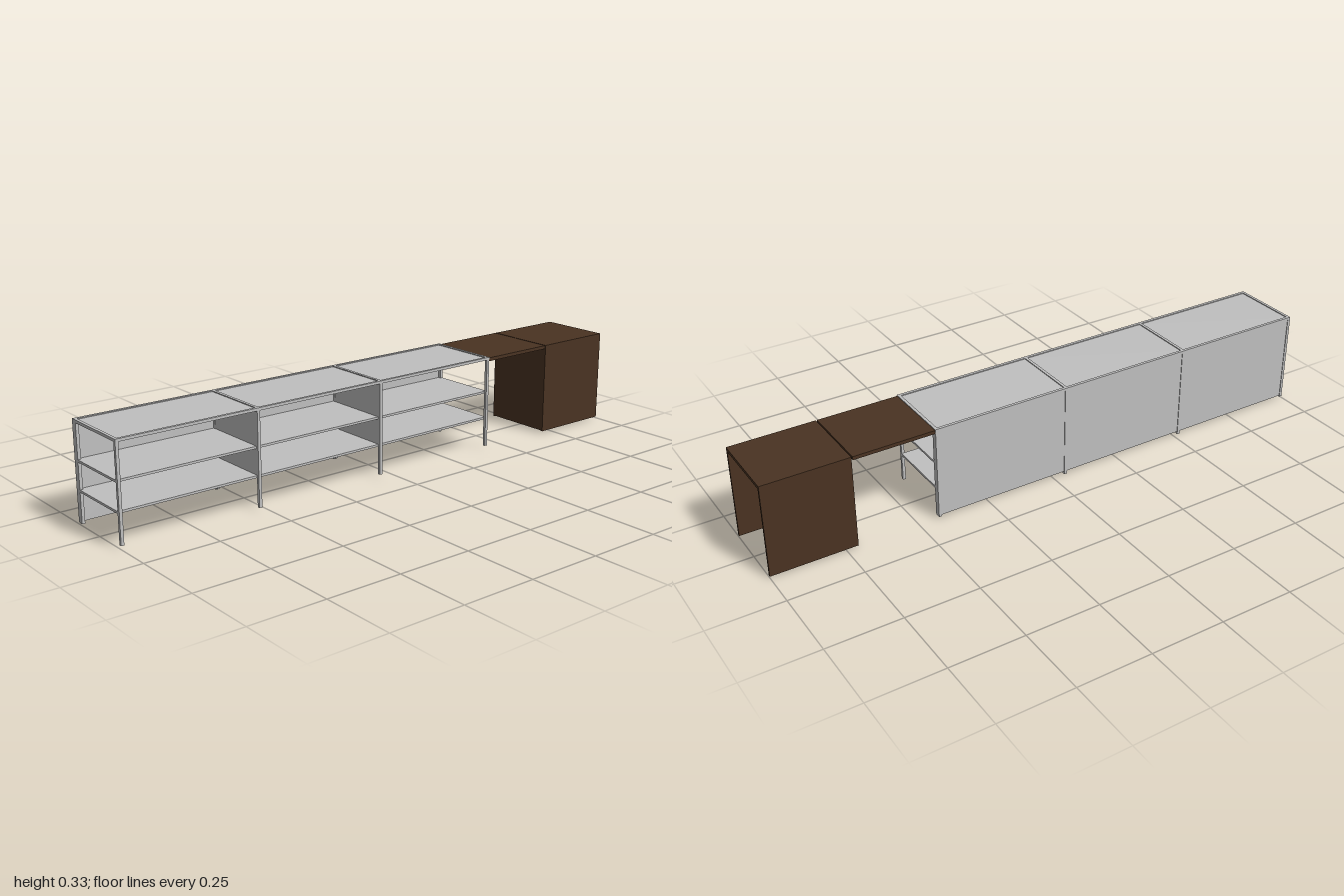
import * as THREE from 'three';

export function createModel() {
  const model = new THREE.Group();
  model.name = 'shelfAndDesk';
  const grey = new THREE.MeshStandardMaterial({ color: 0xc0c0c0 });
  grey.name = 'light grey';
  const brown = new THREE.MeshStandardMaterial({ color: 0x4a3322 });
  brown.name = 'dark brown wood';

  // Box given by its lower and upper limits on each axis
  const box = (name, mat, [x0, x1], [y0, y1], [z0, z1]) => {
    const mesh = new THREE.Mesh(new THREE.BoxGeometry(x1 - x0, y1 - y0, z1 - z0), mat);
    mesh.position.set((x0 + x1) / 2, (y0 + y1) / 2, (z0 + z1) / 2);
    mesh.name = name;
    model.add(mesh);
  };

  const W = 0.127, T = 0.01, top = 0.327, front = 1, rear = -0.43;
  const posts = [front - T / 2, 0.523, 0.049, rear + T / 2];

  // Posts on both long sides, cross rails on top, dividers at the inner posts
  posts.forEach((z, i) => {
    const inner = i === 1 || i === 2;
    const span = [z - T / 2, z + T / 2];
    box('openSidePost', grey, [W - T, W], [0.011, 0.318], span);
    box('closedSidePost', grey, [-W, -W + T], [inner ? 0 : 0.006, 0.318], span);
    box('innerPost', grey, [-W + T, -0.107], [0.005, 0.318], span);
    box('crossRail', grey, [-W + T, W - T], [0.318, top], span);
    if (inner) box('divider', grey, [-0.107, W - T], [0.113, 0.318], [z - 0.004, z + 0.004]);
  });

  // Long top rails
  box('topRail', grey, [W - T, W], [0.318, top], [rear, front]);
  box('topRail', grey, [-W, -W + T], [0.318, top], [rear, front]);

  // Recessed top and closed side panels, shelves, one set for each bay
  for (let i = 0; i < 3; i++) {
    const bay = [posts[i + 1] + T / 2, posts[i] - T / 2];
    box('topPanel', grey, [-W + T, W - T], [0.318, 0.324], bay);
    box('sidePanel', grey, [-0.125, -0.117], [0.01, 0.318], bay);
  }
  for (const y of [0.105, 0.198])
    box('shelf', grey, [-0.117, W - T], [y, y + 0.0075], [rear, front]);

  // Desk top bridging from the shelves to the cabinet
  const B = 0.125, mid = -0.708;
  box('deskTop', brown, [-B, B], [0.312, 0.324], [mid + 0.002, rear]);

  // Cabinet, open at the rear end and below
  box('cabinetTop', brown, [-B, B], [0.312, 0.324], [-1, mid - 0.002]);
  for (const s of [-1, 1])
    box('cabinetSide', brown, s < 0 ? [-B, -B + 0.008] : [B - 0.008, B], [0.005, 0.312], [-1, mid - 0.002]);
  box('cabinetFrontPanel', brown, [-B + 0.008, B - 0.008], [0.007, 0.312], [mid - 0.01, mid - 0.002]);

  return model;
}
